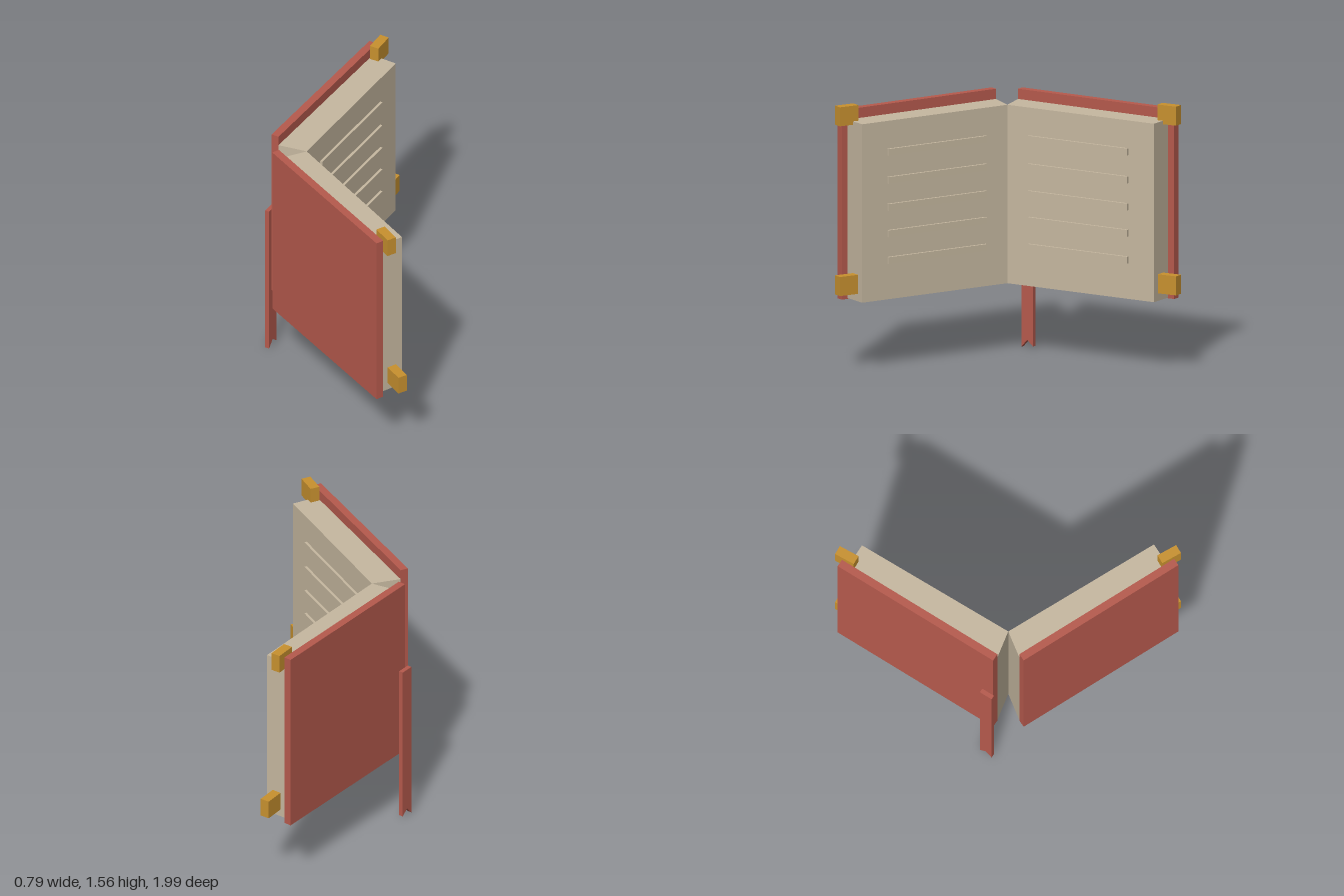
import * as THREE from 'three';

export function createModel() {
  const mat = (name, color) => {
    const m = new THREE.MeshStandardMaterial({ color });
    m.name = name;
    return m;
  };
  const red = mat('cover red', 0xb65a4d);
  const paper = mat('page tan', 0xc6b8a0);
  const gold = mat('clasp gold', 0xc8912f);

  // Upright prism over an [x, z] outline; side = -1 mirrors it in z
  function prism(name, outline, side, y0, y1, material) {
    const shape = new THREE.Shape(outline.map(([x, z]) => new THREE.Vector2(x, z * side)));
    const g = new THREE.ExtrudeGeometry(shape, { depth: y1 - y0, bevelEnabled: false });
    g.rotateX(Math.PI / 2).translate(0, y1, 0);
    const mesh = new THREE.Mesh(g, material);
    mesh.name = name;
    return mesh;
  }

  // Rectangle outline: start point, unit direction, length, thickness toward the reading side
  function bar(x, z, [dx, dz], length, thick) {
    const ex = dx * length, ez = dz * length, nx = dz * thick, nz = -dx * thick;
    return [[x, z], [x + ex, z + ez], [x + ex + nx, z + ez + nz], [x + nx, z + nz]];
  }

  const book = new THREE.Group();
  book.name = 'openBook';
  const coverDir = [0.546, 0.838], pageDir = [0.534, 0.846], claspDir = [0.5, 0.866];

  for (const side of [1, -1]) {
    const half = new THREE.Group();
    half.name = side > 0 ? 'frontHalf' : 'backHalf';

    // Cover board and slanted page block
    half.add(prism('cover', bar(-0.36, 0.088, coverDir, 1.065, 0.046), side, 0.415, 1.53, red));
    half.add(prism('pages', [[-0.324, 0.065], [-0.16, 0], [0.37, 0.84], [0.232, 0.927]],
      side, 0.42, 1.47, paper));

    // Raised lines on the page
    for (const y of [1.287, 1.122, 0.963, 0.808, 0.65]) {
      half.add(prism('pageLine', bar(-0.085, 0.128, pageDir, 0.672, 0.02), side,
        y - 0.02, y + 0.02, paper));
    }

    // Corner clasps, the lower one set further out
    half.add(prism('upperClasp', bar(0.222, 0.888, claspDir, 0.124, 0.056), side, 1.45, 1.562, gold));
    half.add(prism('lowerClasp', bar(0.285, 0.888, claspDir, 0.124, 0.056), side, 0.465, 0.577, gold));
    book.add(half);
  }

  // Ribbon bookmark with a notched tail
  const tail = new THREE.Shape([[0, 0], [0.04, 0.045], [0.08, 0.01], [0.08, 0.98], [0, 0.98]]
    .map(([x, y]) => new THREE.Vector2(x, y)));
  const ribbon = new THREE.Mesh(
    new THREE.ExtrudeGeometry(tail, { depth: 0.026, bevelEnabled: false }), red);
  ribbon.name = 'ribbonBookmark';
  ribbon.rotation.y = 0.993;
  ribbon.position.set(-0.397, 0, -0.097);
  book.add(ribbon);

  return book;
}
